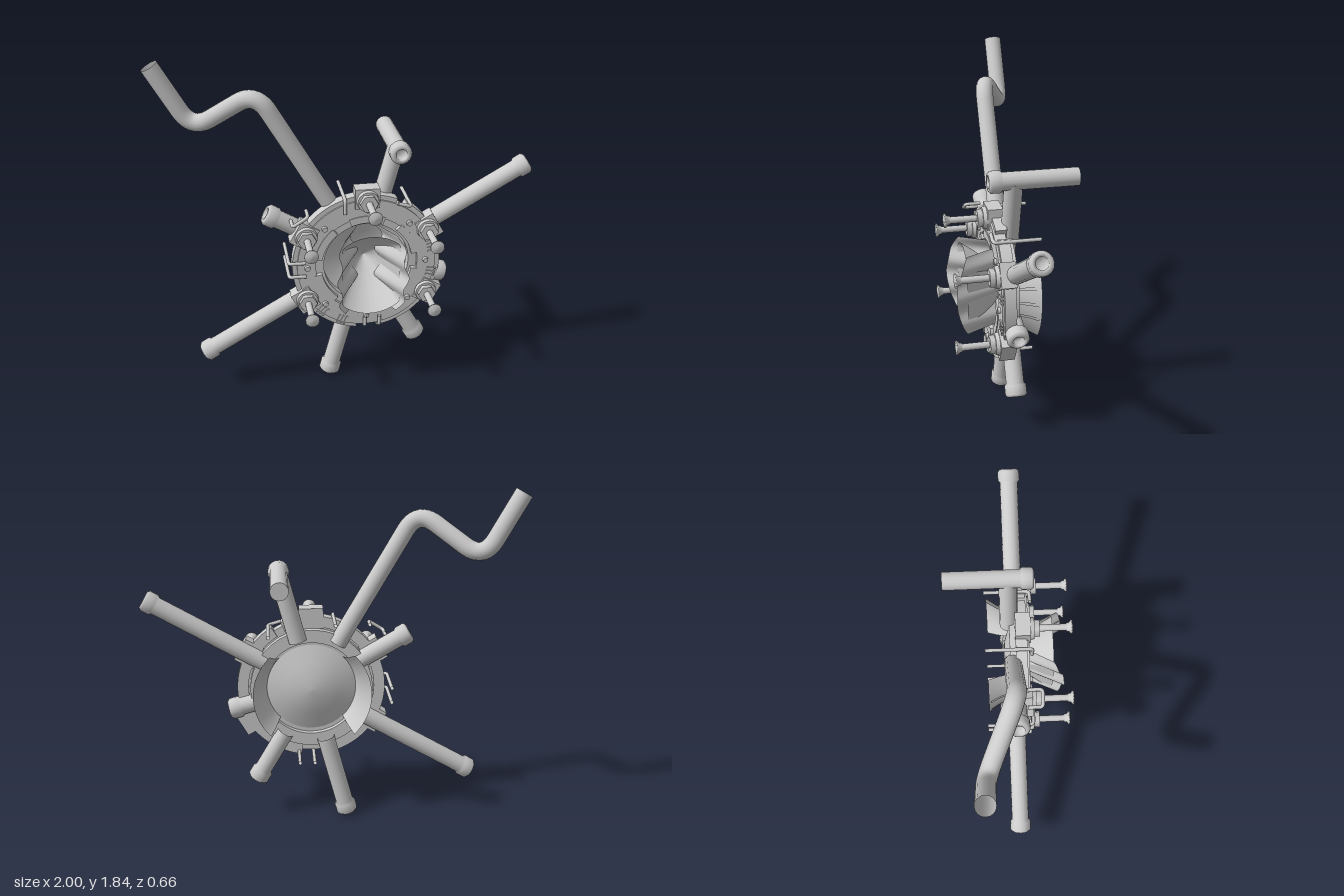
import * as THREE from 'three';

const mat = new THREE.MeshStandardMaterial({ color: 0xcccccc, side: THREE.DoubleSide });
const rad = THREE.MathUtils.degToRad;

function add(parent, name, geo, x = 0, y = 0, z = 0) {
  const m = new THREE.Mesh(geo, mat);
  m.name = name;
  m.position.set(x, y, z);
  parent.add(m);
  return m;
}

// Group whose +x axis points outward from the hub at the given angle
function spoke(parent, name, deg) {
  const g = new THREE.Group();
  g.name = name;
  g.rotation.z = rad(deg);
  parent.add(g);
  return g;
}

// Flat ring, optionally a sector, standing on z0
function ringGeo(r0, r1, z0, depth, from = 0, to = 360) {
  const s = new THREE.Shape();
  if (to - from >= 360) {
    s.absarc(0, 0, r1, 0, Math.PI * 2);
    s.holes.push(new THREE.Path().absarc(0, 0, r0, 0, Math.PI * 2, true));
  } else {
    s.absarc(0, 0, r1, rad(from), rad(to));
    s.absarc(0, 0, r0, rad(to), rad(from), true);
  }
  return new THREE.ExtrudeGeometry(s, { depth, bevelEnabled: false, curveSegments: 32 }).translate(0, 0, z0);
}

// Surface of revolution about z from [radius, z] pairs
function latheZ(pts, seg = 32, start = 0, length = Math.PI * 2) {
  return new THREE.LatheGeometry(pts.map(p => new THREE.Vector2(...p)), seg, start, length).rotateX(Math.PI / 2);
}

// Hollow pipe along z with a thicker collar at its far end
function pipeGeo(from, to, r = 0.048) {
  const c = r + 0.01;
  return latheZ([[r, from], [r, to - 0.07], [c, to - 0.06], [c, to - 0.012], [c - 0.012, to],
    [r - 0.018, to], [r - 0.018, to - 0.03], [0, to - 0.03]], 16);
}

// Path with rounded corners
function roundedPath(points, radius) {
  const p = points.map(a => new THREE.Vector3(...a));
  const path = new THREE.CurvePath();
  let last = p[0];
  for (let i = 1; i < p.length - 1; i++) {
    const a = p[i].clone().add(p[i - 1].clone().sub(p[i]).setLength(radius));
    const b = p[i].clone().add(p[i + 1].clone().sub(p[i]).setLength(radius));
    path.add(new THREE.LineCurve3(last, a));
    path.add(new THREE.QuadraticBezierCurve3(a, p[i], b));
    last = b;
  }
  path.add(new THREE.LineCurve3(last, p[p.length - 1]));
  return path;
}

// Move every vertex by a rule
function reshape(geo, rule) {
  const pos = geo.attributes.position, v = new THREE.Vector3();
  for (let i = 0; i < pos.count; i++) {
    rule(v.fromBufferAttribute(pos, i));
    pos.setXYZ(i, v.x, v.y, v.z);
  }
  geo.computeVertexNormals();
  return geo;
}

export function createModel() {
  const model = new THREE.Group();
  model.name = 'pipeHub';
  const hub = new THREE.Group();
  hub.name = 'hub';
  hub.position.set(0.1, 0.76, 0);
  model.add(hub);

  // Ring body: plate, inner lip and stepped outer segments
  add(hub, 'ringPlate', ringGeo(0.275, 0.375, 0.04, 0.06));
  add(hub, 'innerLip', ringGeo(0.23, 0.285, 0.03, 0.05));
  add(hub, 'backRing', ringGeo(0.26, 0.33, 0.0, 0.04));
  for (const [a, b] of [[-22, 22], [38, 58], [66, 82], [98, 142], [158, 202], [218, 262], [278, 322]]) {
    add(hub, 'rimSegment', ringGeo(0.34, 0.4, 0.03, 0.06, a, b));
  }
  for (let a = 10; a < 360; a += 60) add(hub, 'lipSegment', ringGeo(0.245, 0.285, 0.08, 0.025, a, a + 40));

  // Rivets and cooling slots on the plate
  for (let a = 0; a < 360; a += 45) {
    const g = spoke(hub, 'rivet', a);
    add(g, 'rivetHead', new THREE.CylinderGeometry(0.014, 0.017, 0.016, 12).rotateX(Math.PI / 2), 0.32, 0, 0.106);
  }
  for (const a of [-12, 12, 228, 248]) {
    const g = spoke(hub, 'slots', a);
    for (let i = -1; i <= 1; i++) add(g, 'slot', new THREE.BoxGeometry(0.05, 0.008, 0.012), 0.36, i * 0.02, 0.1);
  }

  // Five bolts on square pads
  for (const a of [-30, 30, 90, 150, 210]) {
    const g = spoke(hub, 'boltMount', a);
    add(g, 'pad', new THREE.BoxGeometry(0.11, 0.13, 0.08), 0.385, 0, 0.07);
    add(g, 'washer', new THREE.CylinderGeometry(0.056, 0.06, 0.02, 20).rotateX(Math.PI / 2), 0.375, 0, 0.12);
    add(g, 'nut', new THREE.CylinderGeometry(0.048, 0.048, 0.035, 6).rotateX(Math.PI / 2), 0.375, 0, 0.14);
    add(g, 'bolt', latheZ([[0, 0.1], [0.018, 0.1], [0.018, 0.295], [0.024, 0.3], [0.024, 0.31],
      [0.037, 0.32], [0.037, 0.328], [0, 0.333]], 14), 0.375);
  }

  // Straight pipes: angle, outer reach, depth
  for (const [a, reach, z] of [[30, 1.01, 0.03], [210, 1.03, 0.03], [255, 0.76, -0.01],
    [300, 0.61, 0.01], [150, 0.61, 0.03], [345, 0.46, 0.03]]) {
    const g = spoke(hub, 'pipeArm', a);
    add(g, 'pipe', pipeGeo(0.29, reach).rotateY(Math.PI / 2), 0, 0, z);
  }

  // Short arm carrying a pipe that runs front to back
  const tee = spoke(hub, 'teeArm', 75);
  add(tee, 'teeStem', new THREE.CylinderGeometry(0.048, 0.048, 0.37, 16).rotateZ(Math.PI / 2), 0.465, 0, 0);
  add(tee, 'teePipe', pipeGeo(-0.33, 0.13, 0.047), 0.65, 0, 0);
  add(tee, 'teeEnd', new THREE.CircleGeometry(0.047, 16).rotateY(Math.PI), 0.65, 0, -0.329);

  // Long cranked pipe
  const crank = roundedPath([[-0.04, 1.01, 0.015], [-0.45, 1.72, 0.015], [-0.77, 1.49, -0.14], [-0.96, 1.83, -0.14]], 0.12);
  add(model, 'crankPipe', new THREE.TubeGeometry(crank, 90, 0.047, 16));

  // Bent pins hooked over the rim: x, y of the rearward leg, and its inner start
  for (const [x, y, x0, y0] of [[-0.32, 0.8, -0.23, 0.8], [-0.32, 0.72, -0.23, 0.72], [-0.02, 1.15, -0.02, 1.07],
    [0.33, 1.09, 0.26, 1.11], [0.09, 0.38, 0.09, 0.44], [0.17, 0.38, 0.17, 0.44]]) {
    const path = roundedPath([[x0, y0, 0.115], [x, y, 0.115], [x, y, -0.13]], 0.02);
    add(model, 'bentPin', new THREE.TubeGeometry(path, 40, 0.01, 8));
  }
  // Wire loop at the upper left
  add(model, 'wireLoop', new THREE.TubeGeometry(
    roundedPath([[-0.3, 1.04, 0.08], [-0.3, 1.04, 0.16], [-0.22, 1.09, 0.16], [-0.22, 1.09, 0.08]], 0.02), 40, 0.01, 8));

  for (const side of [1, -1]) {
    // Flared rear shells with raised ribs
    const mid = side * Math.PI / 2;
    add(hub, 'rearShell', latheZ([[0.235, 0.05], [0.25, 0.0], [0.275, -0.06], [0.315, -0.12]], 24, mid - Math.PI / 4, Math.PI / 2));
    for (const off of [-0.28, 0, 0.28]) {
      add(hub, 'shellRib', latheZ([[0.245, 0.04], [0.26, 0.0], [0.285, -0.06], [0.315, -0.11]], 3, mid + off - 0.03, 0.06));
    }
    // Rippled front leaves, flaring forward
    const leaf = reshape(new THREE.PlaneGeometry(1, 1, 12, 48), v => {
      const t = v.x + 0.5, u = v.y * 2;
      const z = 0.07 + t * (0.225 - 0.06 * u * u);
      const x = 0.065 + 0.5 * (z - 0.07) + 0.02 * Math.cos(u * 9) * (1 - 0.4 * t);
      v.set(side * x, u * 0.222, z);
    });
    add(hub, 'frontLeaf', leaf);
  }

  // Conical bowl closing the bore, pinched between the leaves
  const bowl = reshape(latheZ([[0, -0.02], [0.06, 0.03], [0.12, 0.09], [0.175, 0.16], [0.228, 0.235]], 64), v => {
    const w = 0.07 + 0.45 * Math.max(v.z - 0.05, 0);
    v.x = THREE.MathUtils.clamp(v.x, -w, w);
  });
  add(hub, 'bowl', bowl);
  add(hub, 'bowlBack', latheZ([[0.24, 0.03], [0.15, 0.0], [0.07, -0.025], [0, -0.03]], 40));
  return model;
}
